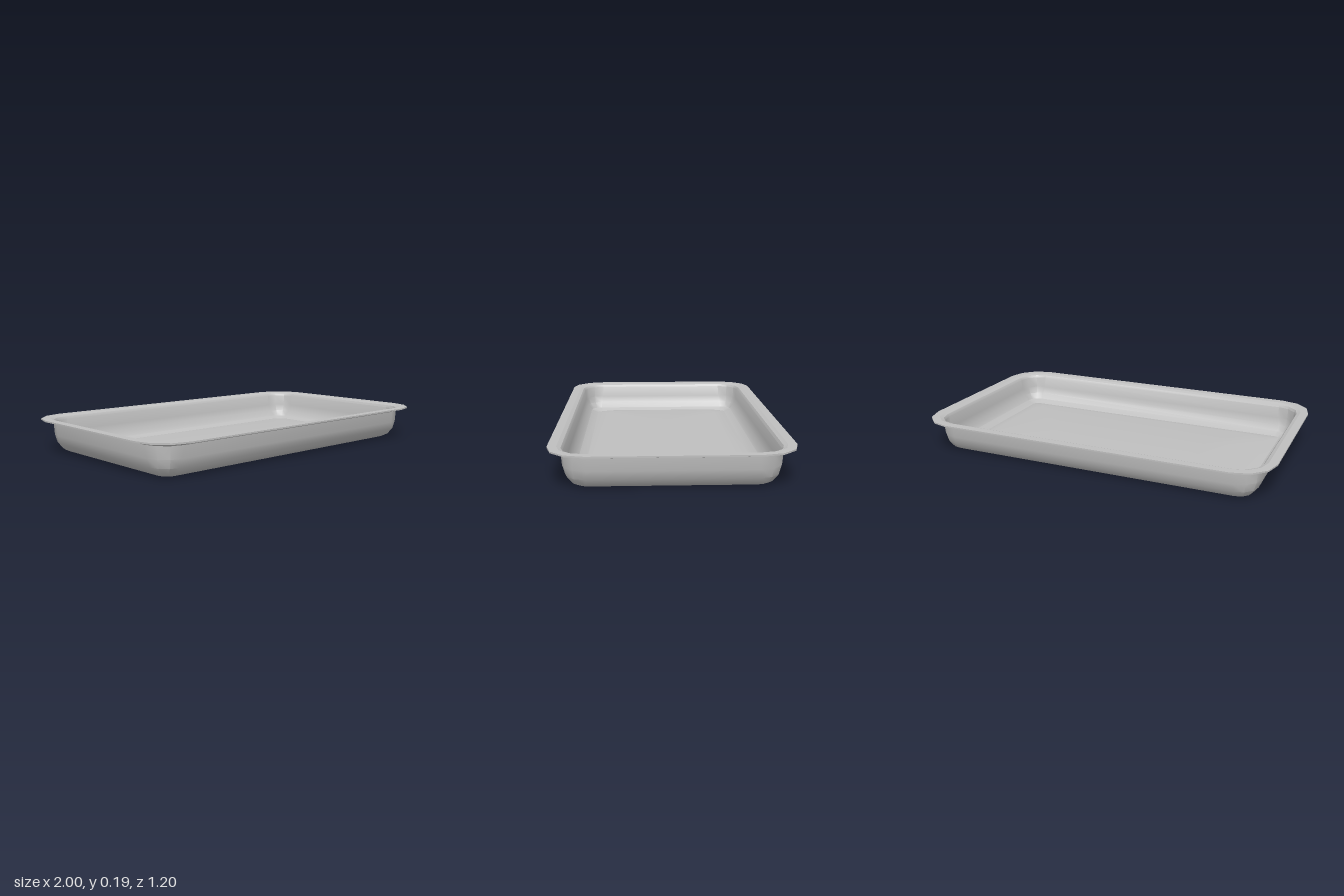
import * as THREE from 'three';
import { toCreasedNormals } from 'three/addons/utils/BufferGeometryUtils.js';

const HALF_X = 1, HALF_Z = 0.6, STEPS = 3;

// Rounded rectangle ring, inset from the outer rim by d, at height y, corner radius r
function ring([d, y, r]) {
  const cx = HALF_X - d - r, cz = HALF_Z - d - r;
  const points = [];
  [[1, 1], [-1, 1], [-1, -1], [1, -1]].forEach(([sx, sz], q) => {
    for (let i = 0; i <= STEPS; i++) {
      const a = (q + i / STEPS) * Math.PI / 2;
      points.push(new THREE.Vector3(sx * cx + r * Math.cos(a), y, sz * cz + r * Math.sin(a)));
    }
  });
  return points;
}

// Skin a list of rings, leaving out collapsed triangles
function loft(profile, crease) {
  const rings = profile.map(ring);
  const pos = [];
  const tri = new THREE.Triangle();
  const add = (a, b, c) => {
    if (tri.set(a, b, c).getArea() > 1e-7) for (const p of [a, b, c]) pos.push(p.x, p.y, p.z);
  };
  for (let i = 0; i < rings.length - 1; i++) {
    const lo = rings[i], hi = rings[i + 1], n = lo.length;
    for (let j = 0; j < n; j++) {
      const k = (j + 1) % n;
      add(lo[j], hi[j], hi[k]);
      add(lo[j], hi[k], lo[k]);
    }
  }
  const geo = new THREE.BufferGeometry();
  geo.setAttribute('position', new THREE.Float32BufferAttribute(pos, 3));
  return toCreasedNormals(geo, crease);
}

export function createModel() {
  const metal = new THREE.MeshStandardMaterial({ color: 0xbfbfbf });
  metal.name = 'brushed grey metal';
  const group = new THREE.Group();
  group.name = 'tray';
  const part = (name, crease, profile) => {
    const mesh = new THREE.Mesh(loft(profile, crease), metal);
    mesh.name = name;
    group.add(mesh);
  };

  // Underside with a raised centre panel, then the outer wall upwards
  part('outerShell', 0.55, [
    [0.6, 0.021, 0], [0.24, 0.021, 0.1], [0.2, 0.015, 0.07], [0.155, 0, 0.05],
    [0.14, 0.001, 0.055], [0.115, 0.014, 0.07], [0.085, 0.05, 0.1],
    [0.07, 0.095, 0.12], [0.064, 0.16, 0.13], [0.056, 0.17, 0.135], [0.04, 0.176, 0.15],
  ]);
  // Flat flange around the top
  part('rim', 0.55, [
    [0.04, 0.176, 0.15], [0, 0.178, 0.19], [0, 0.186, 0.19], [0.045, 0.186, 0.145],
  ]);
  // Inner wall, the groove at its foot, and the raised floor panel
  part('innerBasin', 0.55, [
    [0.045, 0.186, 0.145], [0.065, 0.178, 0.13], [0.074, 0.165, 0.12], [0.08, 0.1, 0.11],
    [0.094, 0.06, 0.09], [0.118, 0.026, 0.065], [0.16, 0.007, 0.03],
    [0.2, 0.022, 0.07], [0.24, 0.028, 0.1], [0.6, 0.028, 0],
  ]);
  return group;
}
